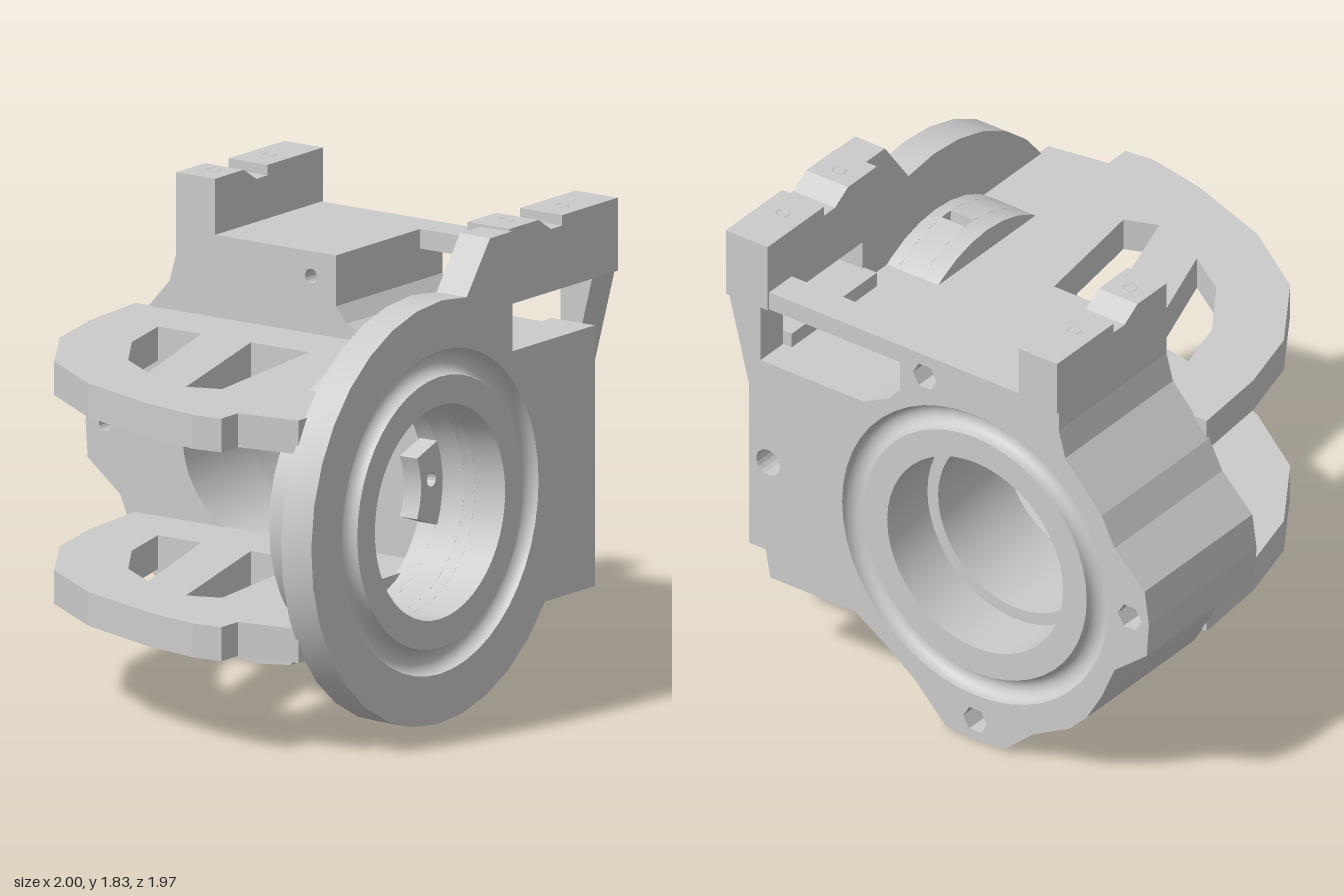
import * as THREE from 'three';
import { toCreasedNormals } from 'three/addons/utils/BufferGeometryUtils.js';

const material = new THREE.MeshStandardMaterial({ color: 0xcccccc });
const rad = THREE.MathUtils.degToRad;

// points on an arc, angles in degrees
function arc(cx, cy, r, from, to, n) {
  return Array.from({ length: n + 1 }, (_, i) => {
    const a = rad(from + (to - from) * i / n);
    return [cx + r * Math.cos(a), cy + r * Math.sin(a)];
  });
}
const ring = (cx, cy, r, n = 48) => arc(cx, cy, r, 0, 360, n).slice(0, -1);

// slab extruded along an axis; outlines are [z,y] for x, [x,z] for y, [x,y] for z
function slab(axis, outline, holes, start, end) {
  const map = {
    x: ([z, y]) => new THREE.Vector2(-z, y),
    y: ([x, z]) => new THREE.Vector2(x, -z),
    z: ([x, y]) => new THREE.Vector2(x, y),
  }[axis];
  const shape = new THREE.Shape(outline.map(map));
  holes.forEach(h => shape.holes.push(new THREE.Path(h.map(map))));
  const g = new THREE.ExtrudeGeometry(shape, { depth: end - start, bevelEnabled: false });
  g.translate(0, 0, start);
  if (axis === 'x') g.rotateY(Math.PI / 2);
  if (axis === 'y') g.rotateX(-Math.PI / 2);
  return toCreasedNormals(g, 0.2);
}

// bored ring with a rounded groove in its outer face; y runs outwards
function seat(depth, lip, lipEnd) {
  const p = [[0.62, 0], [0.62, depth], ...arc(0.57, depth, 0.05, 0, -180, 12),
    [0.41, depth], [0.41, lipEnd], [lip, lipEnd], [lip, 0], [0.62, 0]];
  return toCreasedNormals(new THREE.LatheGeometry(p.map(q => new THREE.Vector2(...q)), 48), 0.6);
}

export function createModel() {
  const model = new THREE.Group();
  const add = (name, geometry) => {
    const m = new THREE.Mesh(geometry, material);
    m.name = name;
    model.add(m);
    return m;
  };
  const FX = -0.125, CY = 0.83;      // front bore centre
  const SZ = -0.18, SY = 0.82;       // side bore centre

  // round front plate with a wing to the side and a gusset at the top
  add('frontPlate', slab('z', [
    [0.85, 0.36], [0.85, 1.36], [0.33, 1.36], [0.33, 1.82], [0.19, 1.82],
    ...arc(FX, CY, 0.81, 78, 324.6, 22),
  ], [ring(FX, CY, 0.62)], 0.84, 0.98));
  const frontSeat = add('frontSeat', seat(0.14, 0.41, 0));
  frontSeat.rotation.x = Math.PI / 2;
  frontSeat.position.set(FX, CY, 0.84);

  // tube behind the front plate, slotted at top and bottom
  const full = ring(FX, CY, 0.56, 36), bore = ring(FX, CY, 0.41, 36);
  add('tubeRear', slab('z', full, [bore], 0.6, 0.68));
  add('tubeFront', slab('z', full, [bore], 0.79, 0.84));
  for (const a of [-87, 93]) {
    add('tubeSide', slab('z',
      [...arc(FX, CY, 0.56, a, a + 174, 17), ...arc(FX, CY, 0.41, a + 174, a, 17)], [], 0.68, 0.79));
  }
  // screw tabs inside the tube
  for (const [a, x, y] of [[0, 0.215, 0.85], [180, -0.475, 0.83]]) {
    add('screwTab', slab('z',
      [...arc(FX, CY, 0.43, a - 23, a + 23, 5), ...arc(FX, CY, 0.275, a + 25, a - 25, 5)],
      [ring(x, y, 0.028, 16)], 0.61, 0.69));
  }

  // two horizontal plates with windows
  const plate = [
    [0.33, -0.765], [0, -0.735], [-0.29, -0.66], [-0.61, -0.45], [-0.82, -0.14], [-0.95, 0.23],
    [-1, 0.48], [-0.985, 0.6], [-0.88, 0.6], [-0.84, 0.85], [-0.37, 0.85], [-0.37, 0.62],
    [0.12, 0.62], [0.12, 0.85], [0.33, 0.85],
  ];
  const windows = [
    [[0.07, -0.47], [-0.19, -0.4], [-0.43, -0.24], [-0.55, -0.06], [0.07, -0.27]],
    [[0.07, -0.04], [-0.65, 0.19], [-0.6, 0.32], [0.07, 0.23]],
  ];
  add('upperPlate', slab('y', plate, windows, 1.17, 1.3));
  add('lowerPlate', slab('y', plate, windows, 0.37, 0.5));

  // side housing: lower and rear edge shared by its two layers
  const edge = [
    [0.38, 0.355], [0.23, 0.26], [0.1, 0.16], [-0.04, 0.015], [-0.18, 0], [-0.32, 0.015],
    [-0.45, 0.13], [-0.62, 0.22], [-0.7, 0.3], [-0.77, 0.42], [-0.83, 0.56], [-0.98, 0.68],
    [-0.99, 0.82], [-0.97, 0.96], [-0.83, 1.1], [-0.77, 1.22], [-0.6, 1.41], [-0.57, 1.52],
    [-0.57, 1.615],
  ];
  const bolts = [[-0.18, 0.09], [0.055, 1.52], [-0.9, 0.82]];
  const sill = [[0.17, 1.42], [0.22, 1.36], [0.34, 1.3]];
  const sideBore = ring(SZ, SY, 0.62);
  add('housingCore', slab('x',
    [[0.85, 0.355], ...edge, [0.17, 1.615], ...sill, [0.34, 1.24], [0.85, 1.24]],
    [sideBore, ...bolts.map(b => ring(...b, 0.028, 16))], 0.32, 0.85));
  add('housingFace', slab('x',
    [[0.775, 0.355], ...edge, [0.97, 1.615], [0.97, 1.55], [0.84, 1.04], [0.86, 0.82]],
    [sideBore, [[0.82, 1.54], [0.17, 1.54], ...sill, [0.82, 1.3]],
      ring(0.785, 0.86, 0.055, 20), ...bolts.map(b => ring(...b, 0.055, 6))], 0.85, 0.99));
  const sideSeat = add('sideSeat', seat(0.67, 0.36, 0.42));
  sideSeat.rotation.z = -Math.PI / 2;
  sideSeat.position.set(0.32, SY, SZ);

  // floor of the side window with a hexagonal pocket
  add('pocketFloor', slab('y', [[0.32, 0.34], [0.85, 0.34], [0.85, 0.85], [0.32, 0.85]],
    [ring(0.6, 0.53, 0.19, 6)], 1.24, 1.3));
  // front wall above the floor
  add('frontSill', slab('z', [[0.32, 1.29], [0.85, 1.29], [0.85, 1.36], [0.32, 1.36]], [], 0.78, 0.85));

  // notched mounting blocks on top, each with two screw holes
  const blockTop = [[1, 1.82], [0.65, 1.82], [0.65, 1.78], [0.58, 1.78], [0.5, 1.83], [0.32, 1.83]];
  for (const [name, y, z0, z1] of [['frontBlock', 1.54, 0.78, 0.975], ['rearBlock', 1.6, -0.57, -0.39]]) {
    add(name, slab('z', [[0.32, y], [1, y], ...blockTop], [], z0, z1));
    for (const x of [0.43, 0.78]) {
      const rim = add('screwHole', new THREE.TorusGeometry(0.025, 0.005, 6, 20));
      rim.rotation.x = Math.PI / 2;
      rim.position.set(x, x < 0.5 ? 1.828 : 1.818, (z0 + z1) / 2);
    }
  }
  return model;
}
